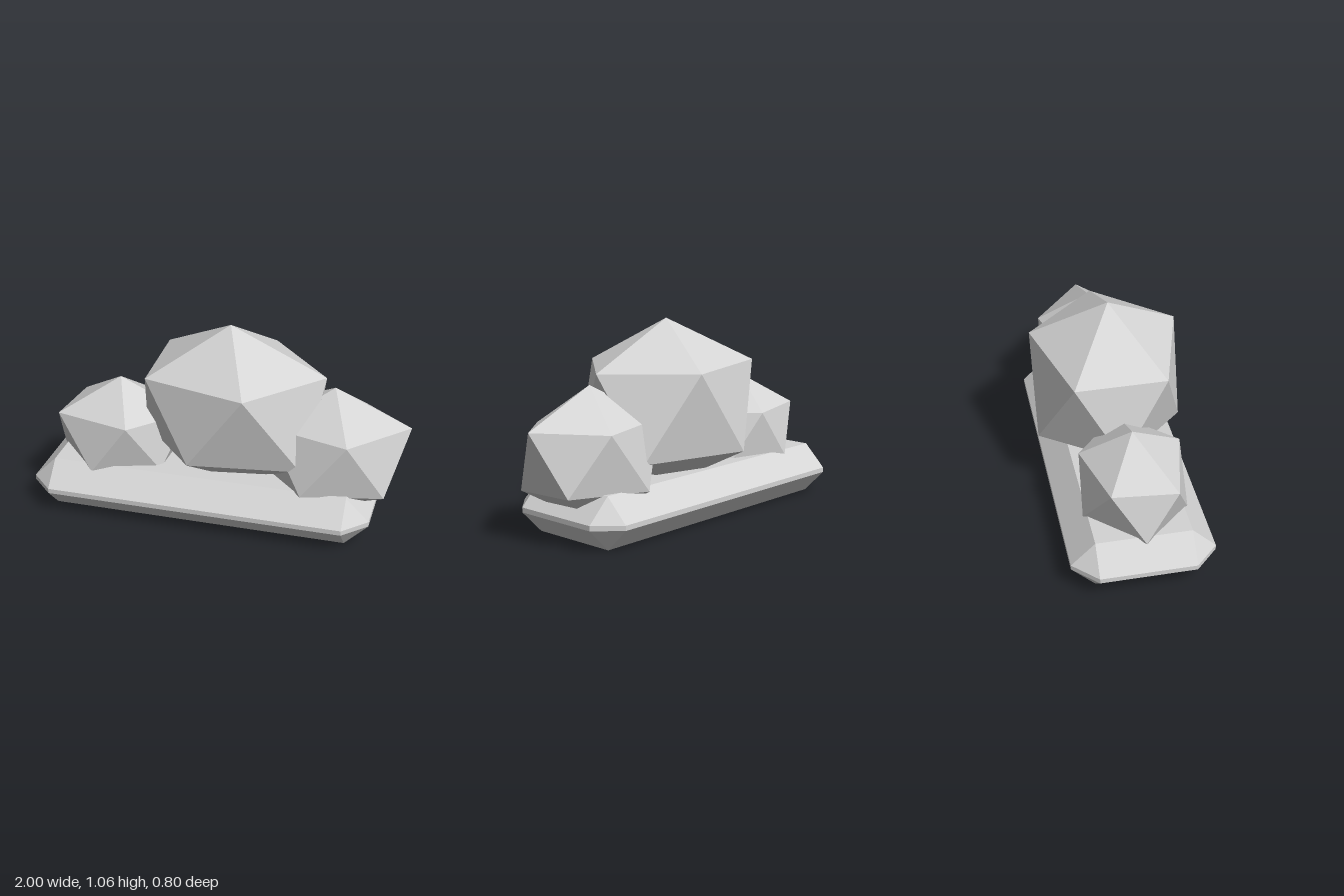
import * as THREE from 'three';
import { ConvexGeometry } from 'three/addons/geometries/ConvexGeometry.js';

const stone = new THREE.MeshStandardMaterial({ color: 0xd4d4d4 });
stone.name = 'pale grey stone';

function hull(name, points) {
  const mesh = new THREE.Mesh(new ConvexGeometry(points), stone);
  mesh.name = name;
  return mesh;
}

// Box with every edge bevelled and every corner cut to a triangle
function bevelledSlab(name, size, bevel, centre) {
  const half = size.clone().multiplyScalar(0.5);
  const points = [];
  for (const sx of [-1, 1]) for (const sy of [-1, 1]) for (const sz of [-1, 1]) {
    for (const axis of ['x', 'y', 'z']) {
      const p = half.clone().subScalar(bevel);
      p[axis] = half[axis];
      points.push(p.multiply(new THREE.Vector3(sx, sy, sz)).add(centre));
    }
  }
  return hull(name, points);
}

// Rough icosahedron standing on a point: crown, two staggered rings of five, foot
function boulder(name, { crown, upper, lower, foot }) {
  return hull(name, [crown, ...upper, ...lower, foot].map((p) => new THREE.Vector3(...p)));
}

export function createModel() {
  const group = new THREE.Group();
  group.name = 'boulders on slab';

  group.add(bevelledSlab('baseSlab', new THREE.Vector3(1.84, 0.272, 0.736), 0.123,
    new THREE.Vector3(-0.08, 0.136, 0.003)));

  group.add(boulder('largeBoulder', {
    crown: [0.04, 1.058, 0.003],
    upper: [[0.55, 0.82, 0.003], [0.2, 0.822, 0.397], [-0.355, 0.81, 0.235],
      [-0.37, 0.82, -0.245], [0.2, 0.82, -0.388]],
    lower: [[0.47, 0.375, 0.225], [-0.1, 0.405, 0.36], [-0.43, 0.4, -0.01],
      [-0.12, 0.378, -0.4], [0.46, 0.378, -0.24]],
    foot: [0.04, 0.16, 0] }));

  group.add(boulder('leftRock', {
    crown: [-0.57, 0.69, 0.003],
    upper: [[-0.2, 0.515, 0], [-0.458, 0.515, 0.275], [-0.87, 0.515, 0.175],
      [-0.835, 0.515, -0.155], [-0.465, 0.51, -0.247]],
    lower: [[-0.305, 0.24, 0.165], [-0.66, 0.235, 0.277], [-0.908, 0.25, 0.01],
      [-0.65, 0.25, -0.262], [-0.29, 0.24, -0.165]],
    foot: [-0.57, 0.06, 0] }));

  group.add(boulder('rightRock', {
    crown: [0.597, 0.772, 0.003],
    upper: [[1, 0.592, 0.003], [0.71, 0.567, 0.267], [0.28, 0.58, 0.165],
      [0.28, 0.58, -0.165], [0.71, 0.572, -0.268]],
    lower: [[0.9, 0.26, 0.183], [0.48, 0.26, 0.28], [0.2, 0.26, 0],
      [0.47, 0.255, -0.285], [0.9, 0.272, -0.16]],
    foot: [0.6, 0.07, 0] }));
  return group;
}
